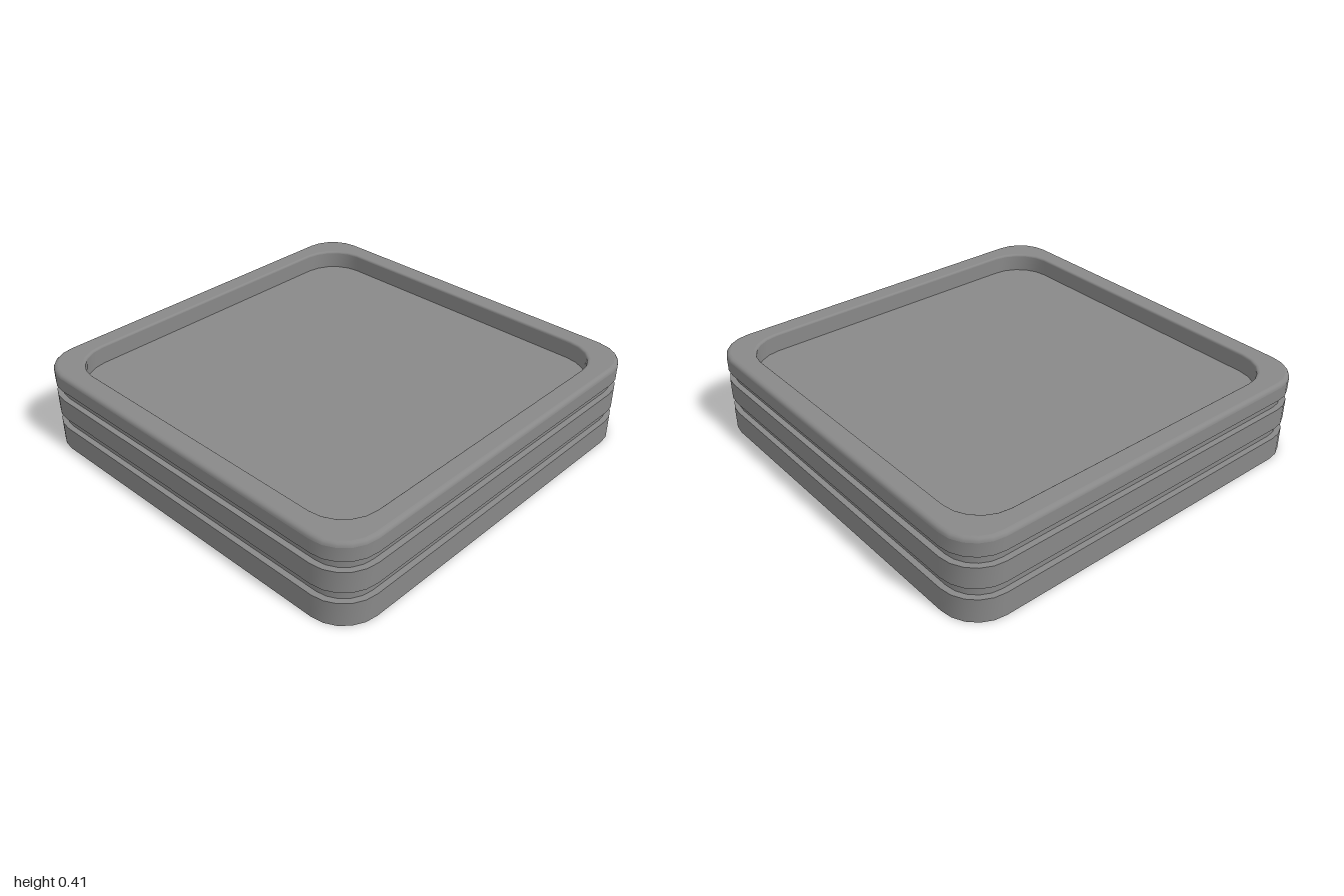
import * as THREE from 'three';

const material = new THREE.MeshStandardMaterial({ color: 0x888888 });
const OUTER_RADIUS = 0.185;
const INNER_RADIUS = 0.19;
const CORNER_STEPS = 5;

// Rounded-square outline at a given inset from the outer edge
function outline(inset, y) {
  const half = 1 - inset;
  const r = Math.min(half, inset < 0.08 ? OUTER_RADIUS - inset : INNER_RADIUS);
  const points = [];
  for (let q = 0; q < 4; q++) {
    const mid = (q + 0.5) * Math.PI / 2;
    const cx = Math.sign(Math.cos(mid)) * (half - r);
    const cz = Math.sign(Math.sin(mid)) * (half - r);
    for (let i = 0; i <= CORNER_STEPS; i++) {
      const a = (q + i / CORNER_STEPS) * Math.PI / 2;
      points.push(cx + r * Math.cos(a), y, cz + r * Math.sin(a));
    }
  }
  return points;
}

// Smooth strip through [inset, y] rings; separate strips meet at sharp edges
function strip(name, ...profile) {
  const n = 4 * (CORNER_STEPS + 1);
  const positions = profile.flatMap(([inset, y]) => outline(inset, y));
  const index = [];
  for (let k = 0; k < profile.length - 1; k++) {
    for (let j = 0; j < n; j++) {
      const a = k * n + j, b = k * n + (j + 1) % n;
      index.push(a, a + n, b, b, a + n, b + n);
    }
  }
  const geometry = new THREE.BufferGeometry();
  geometry.setAttribute('position', new THREE.Float32BufferAttribute(positions, 3));
  geometry.setIndex(index);
  geometry.computeVertexNormals();
  const mesh = new THREE.Mesh(geometry, material);
  mesh.name = name;
  return mesh;
}

// Quarter-round edge between two profile points
function fillet(cx, cy, r, from, to) {
  return Array.from({ length: 5 }, (_, i) => {
    const a = from + (to - from) * i / 4;
    return [cx + r * Math.cos(a), cy + r * Math.sin(a)];
  });
}

export function createModel() {
  const model = new THREE.Group();
  model.name = 'tray';
  const top = 0.415, floor = 0.322, wall = 0.104;
  const outerRound = 0.02, innerRound = 0.01;

  // Underside
  model.add(strip('underside', [1, 0], [0, 0]));

  // Side wall bands, the last one stopping below the rounded rim
  const bands = [[0, 0.117], [0.172, 0.276], [0.328, top - outerRound]];
  for (const [low, high] of bands) model.add(strip('sideBand', [0, low], [0, high]));

  // Two square grooves running around the side
  const depth = 0.028;
  for (let i = 0; i < 2; i++) {
    const low = bands[i][1], high = bands[i + 1][0];
    model.add(strip('grooveLowerLedge', [0, low], [depth, low]));
    model.add(strip('grooveWall', [depth, low], [depth, high]));
    model.add(strip('grooveUpperLedge', [depth, high], [0, high]));
  }

  // Raised rim with softened edges
  model.add(strip('rimOuterEdge',
    ...fillet(outerRound, top - outerRound, outerRound, Math.PI, Math.PI / 2)));
  model.add(strip('rimTop', [outerRound, top], [wall - innerRound, top]));
  model.add(strip('rimInnerEdge',
    ...fillet(wall - innerRound, top - innerRound, innerRound, Math.PI / 2, 0)));

  // Recessed tray
  model.add(strip('trayWall', [wall, top - innerRound], [wall, floor]));
  model.add(strip('trayFloor', [wall, floor], [1, floor]));
  return model;
}
